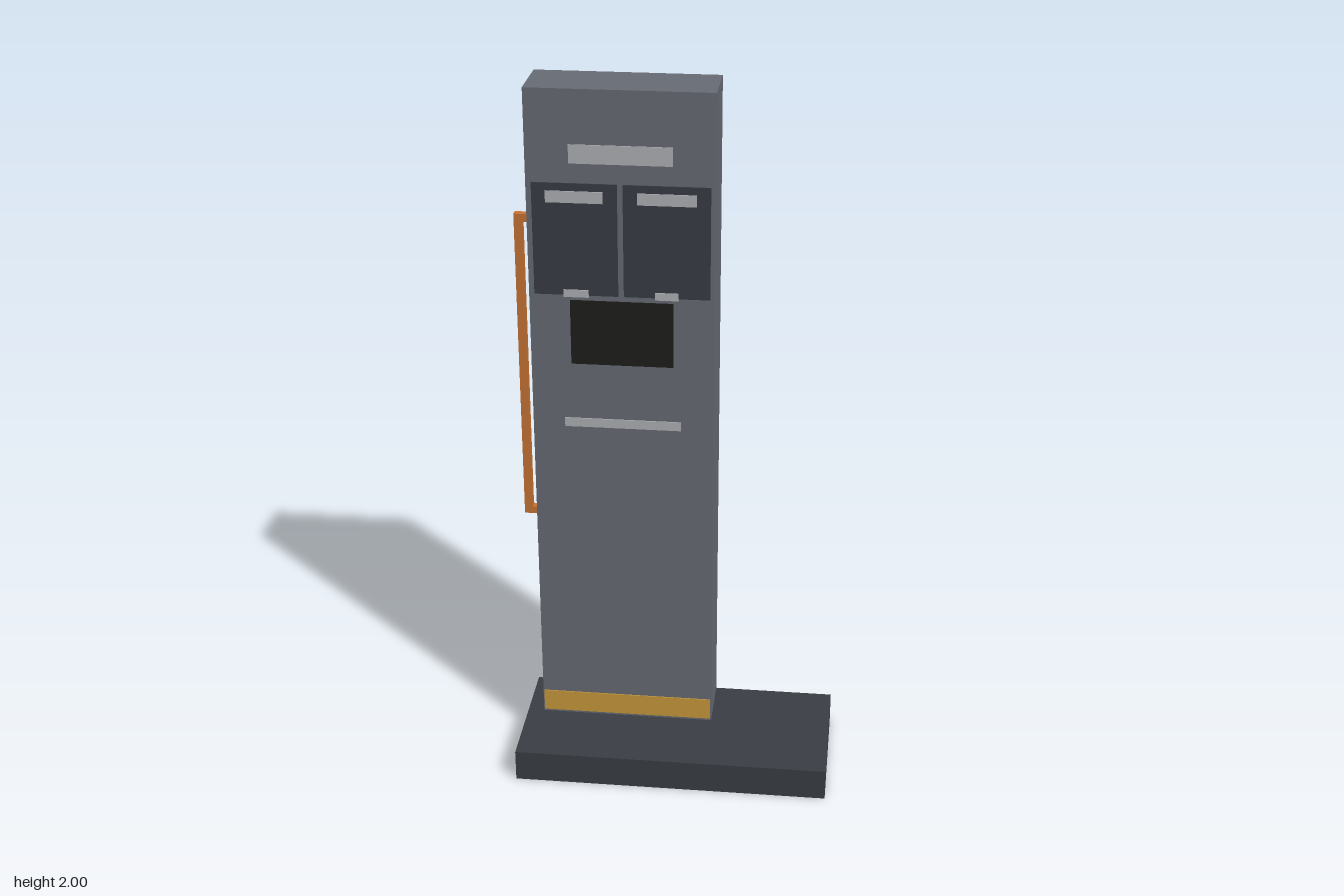
import * as THREE from 'three';

const paint = (name, color) => {
  const m = new THREE.MeshStandardMaterial({ color });
  m.name = name;
  return m;
};

export function createModel() {
  const model = new THREE.Group();
  model.name = 'kiosk';

  const bodyGrey = paint('body grey', 0x686c75);
  const baseGrey = paint('base charcoal', 0x3a3f45);
  const panelGrey = paint('panel dark grey', 0x3a3d45);
  const screenBlack = paint('screen black', 0x1e1e1d);
  const labelGrey = paint('label light grey', 0xb0b3b6);
  const yellow = paint('kick strip yellow', 0xc99a3c);
  const orange = paint('handle orange', 0xc87434);

  // Box given by its limits on each axis
  const box = (name, mat, [x0, x1], [y0, y1], [z0, z1], parent = model) => {
    const mesh = new THREE.Mesh(new THREE.BoxGeometry(x1 - x0, y1 - y0, z1 - z0), mat);
    mesh.position.set((x0 + x1) / 2, (y0 + y1) / 2, (z0 + z1) / 2);
    mesh.name = name;
    parent.add(mesh);
  };

  // Base slab and upright cabinet
  box('base', baseGrey, [-0.45, 0.45], [0, 0.093], [-0.2, 0.2]);
  box('cabinet', bodyGrey, [-0.403, 0.1], [0.093, 2], [-0.2, -0.024]);

  // Thin plates on the front face; layer 2 sits on top of layer 1
  const front = -0.024;
  const plate = (name, mat, xs, ys, layer = 1) =>
    box(name, mat, xs, ys, [front, front + 0.003 * layer]);

  plate('kickStrip', yellow, [-0.4, 0.097], [0.1, 0.166]);
  plate('headerLabel', labelGrey, [-0.287, -0.012], [1.802, 1.853]);
  plate('screen', screenBlack, [-0.292, -0.012], [1.234, 1.42]);
  plate('slotLabel', labelGrey, [-0.314, 0.009], [1.044, 1.07]);

  // Twin display panels, each with a top label and a small lower tag
  plate('rightPanel', panelGrey, [-0.388, -0.16], [1.435, 1.748]);
  plate('leftPanel', panelGrey, [-0.145, 0.088], [1.435, 1.748]);
  plate('rightPanelLabel', labelGrey, [-0.351, -0.198], [1.695, 1.727], 2);
  plate('leftPanelLabel', labelGrey, [-0.107, 0.051], [1.695, 1.727], 2);
  plate('rightPanelTag', labelGrey, [-0.308, -0.24], [1.43, 1.451], 2);
  plate('leftPanelTag', labelGrey, [-0.061, 0.003], [1.43, 1.451], 2);

  // Square-section grab handle on the side
  const handle = new THREE.Group();
  handle.name = 'handle';
  model.add(handle);
  const depth = [-0.106, -0.084];
  box('handleBar', orange, [-0.45, -0.427], [0.73, 1.637], depth, handle);
  for (const y of [0.73, 1.615]) {
    box('handleBracket', orange, [-0.427, -0.403], [y, y + 0.022], depth, handle);
  }

  return model;
}
